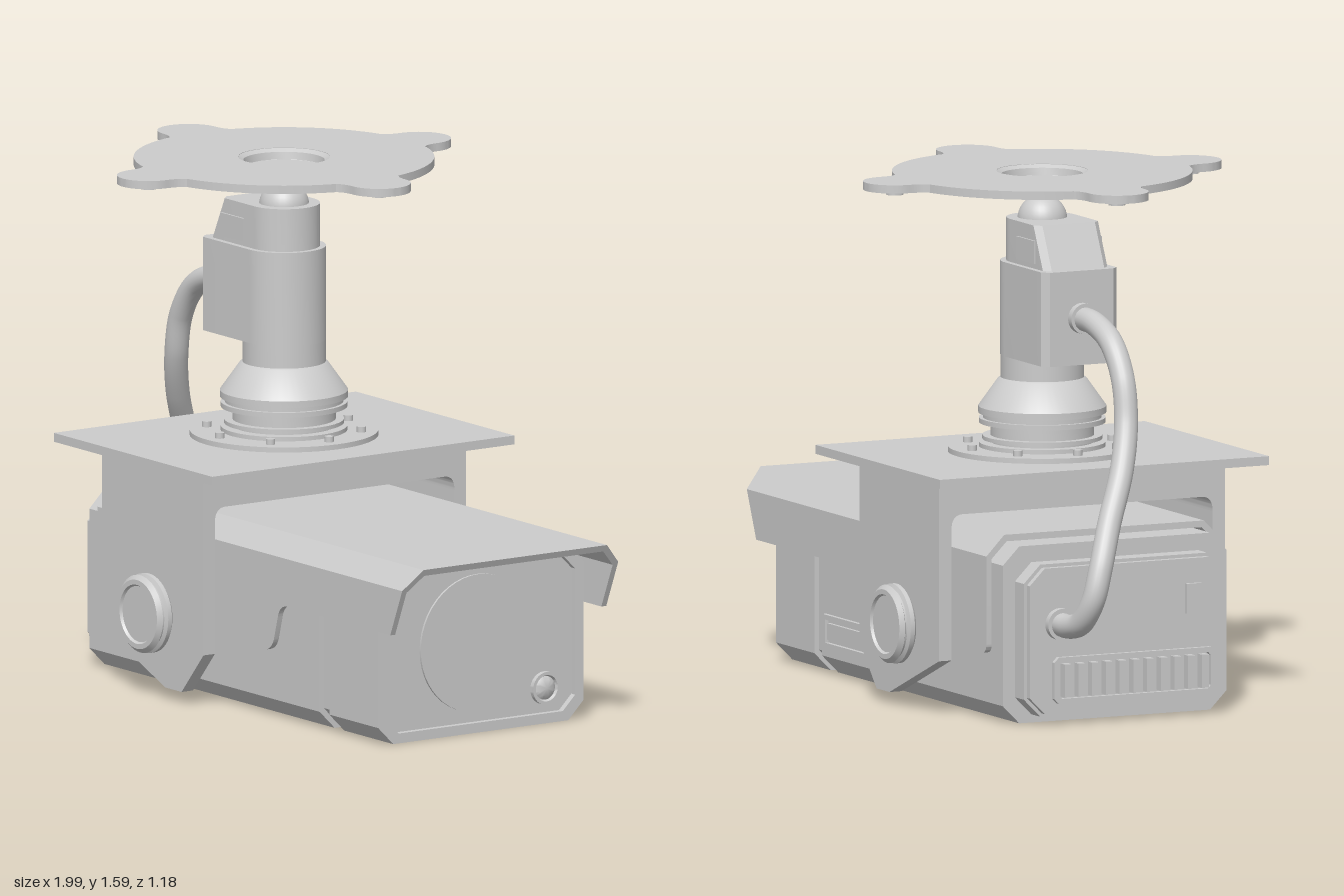
import * as THREE from 'three';
import { toCreasedNormals } from 'three/addons/utils/BufferGeometryUtils.js';

const AXIS_X = -0.21; // column, yoke and ceiling plate share this axis
const mat = new THREE.MeshStandardMaterial({ color: 0xcccccc });
const matTwo = new THREE.MeshStandardMaterial({ color: 0xcccccc, side: THREE.DoubleSide });

export function createModel() {
  const root = new THREE.Group();

  const add = (name, geo, x = 0, y = 0, z = 0, parent = root, m = mat) => {
    const mesh = new THREE.Mesh(geo, m);
    mesh.name = name;
    mesh.position.set(x, y, z);
    parent.add(mesh);
    return mesh;
  };
  const group = (name, parent = root) => {
    const g = new THREE.Group();
    g.name = name;
    parent.add(g);
    return g;
  };
  const poly = pts => new THREE.Shape(pts.map(p => new THREE.Vector2(p[0], p[1])));
  const extrude = (shape, depth, bevel = 0) => toCreasedNormals(new THREE.ExtrudeGeometry(shape, {
    depth: depth - bevel, curveSegments: 16, bevelEnabled: bevel > 0, bevelThickness: bevel,
    bevelSize: bevel, bevelOffset: -bevel, bevelSegments: 1 }), 0.5);
  // Profile drawn in (-z, y), swept from x0 to x1
  const sweepX = (shape, x0, x1, bevel = 0) =>
    extrude(shape, x1 - x0, bevel).rotateY(Math.PI / 2).translate(x0, 0, 0);
  // Plan drawn in (x, -z), swept from y0 to y1
  const sweepY = (shape, y0, y1, bevel = 0) =>
    extrude(shape, y1 - y0, bevel).rotateX(-Math.PI / 2).translate(0, y0, 0);
  const lathe = pts => toCreasedNormals(
    new THREE.LatheGeometry(pts.map(p => new THREE.Vector2(p[0], p[1])), 48), 0.5);
  const octagon = (w, y0, y1, c) => [[-w + c, y0], [w - c, y0], [w, y0 + c], [w, y1 - c],
    [w - c, y1], [-w + c, y1], [-w, y1 - c], [-w, y0 + c]];

  // Camera housing: main body, groove and framed front section
  const camera = group('cameraHousing');
  const section = octagon(0.375, 0.005, 0.54, 0.055);
  add('mainBody', sweepX(poly(section), -0.69, 0.51), 0, 0, 0, camera);
  add('bodyGroove', sweepX(poly(octagon(0.36, 0.02, 0.525, 0.05)), 0.5, 0.57), 0, 0, 0, camera);
  add('frontSection', sweepX(poly(section), 0.56, 0.795), 0, 0, 0, camera);
  const frame = poly(section);
  frame.holes.push(poly(octagon(0.345, 0.035, 0.51, 0.045)));
  add('frontFrame', sweepX(frame, 0.795, 0.815), 0, 0, 0, camera);
  const discX = (r, len) => new THREE.CylinderGeometry(r, r, len, 48).rotateZ(-Math.PI / 2);
  add('lensWindow', discX(0.21, 0.01), 0.797, 0.275, 0, camera);
  const lampProfile = [[0.05, 0], [0.05, 0.015], [0.04, 0.015], [0.036, 0.006], [0.025, 0.014], [0, 0.018]];
  add('sensorLamp', lathe(lampProfile).rotateZ(-Math.PI / 2), 0.795, 0.11, -0.245, camera);

  // Framed access panel on the far side
  const panel = poly([[0.18, 0.09], [0.48, 0.09], [0.48, 0.19], [0.18, 0.19]]);
  panel.holes.push(poly([[0.195, 0.105], [0.465, 0.105], [0.465, 0.175], [0.195, 0.175]]));
  add('sidePanelFrame', extrude(panel, 0.015), 0, 0, -0.388, camera);
  add('sidePanel', new THREE.BoxGeometry(0.25, 0.05, 0.015), 0.33, 0.14, -0.378, camera);

  // Rear cap with vent grille and switch
  add('rearCap', sweepX(poly(octagon(0.335, 0.03, 0.49, 0.055)), -0.75, -0.68), 0, 0, 0, camera);
  add('rearCover', sweepX(poly(octagon(0.325, 0.04, 0.48, 0.05)), -0.77, -0.74), 0, 0, 0, camera);
  const vent = poly(octagon(0.27, 0.07, 0.21, 0.015));
  vent.holes.push(poly(octagon(0.255, 0.085, 0.195, 0.01)));
  add('ventFrame', sweepX(vent, -0.785, -0.765), 0, 0, 0.02, camera);
  for (let i = 0; i < 11; i++) {
    add('ventFin', new THREE.BoxGeometry(0.03, 0.1, 0.024), -0.783, 0.14, -0.21 + i * 0.046, camera);
  }
  add('rearSwitch', new THREE.BoxGeometry(0.02, 0.09, 0.05), -0.773, 0.36, 0.22, camera);

  // Sun shield: chamfered hood raked at the front, with stepped side skirts
  const shield = group('sunShield');
  const hood = sweepX(poly([[-0.395, 0.36], [-0.395, 0.505], [-0.335, 0.567], [0.335, 0.567], [0.395, 0.505],
    [0.395, 0.36], [0.377, 0.36], [0.377, 0.497], [0.327, 0.547], [-0.327, 0.547], [-0.377, 0.497],
    [-0.377, 0.36]]), -0.62, 0.995);
  const hp = hood.attributes.position;
  for (let i = 0; i < hp.count; i++) {
    if (hp.getX(i) > 0.5) hp.setX(i, 0.995 + (hp.getY(i) - 0.567) * 0.43);
  }
  hood.computeVertexNormals();
  add('hood', hood, 0, 0, 0, shield);
  const skirt = new THREE.Shape();
  skirt.moveTo(-0.62, 0.36);
  skirt.lineTo(-0.62, 0.24);
  skirt.quadraticCurveTo(-0.62, 0.21, -0.58, 0.21);
  skirt.lineTo(0.24, 0.21);
  skirt.quadraticCurveTo(0.285, 0.21, 0.3, 0.25);
  skirt.lineTo(0.32, 0.32);
  skirt.quadraticCurveTo(0.33, 0.36, 0.37, 0.36);
  for (const s of [1, -1]) add('sideSkirt', extrude(skirt, 0.018), 0, 0, s * 0.386 - 0.009, shield);

  // Yoke: top plate, filleted bridge, two legs and pivot knobs
  const yoke = group('yoke');
  add('yokePlate', new THREE.BoxGeometry(0.825, 0.027, 1.105), -0.21, 0.734, 0, yoke);
  const bridge = new THREE.Shape();
  bridge.moveTo(-0.48, 0.722);
  bridge.lineTo(-0.48, 0.57);
  bridge.lineTo(-0.438, 0.57);
  bridge.quadraticCurveTo(-0.438, 0.615, -0.4, 0.615);
  bridge.lineTo(0.4, 0.615);
  bridge.quadraticCurveTo(0.438, 0.615, 0.438, 0.57);
  bridge.lineTo(0.48, 0.57);
  bridge.lineTo(0.48, 0.722);
  add('yokeBridge', sweepX(bridge, -0.474, 0.054), 0, 0, 0, yoke);
  const leg = poly([[-0.474, 0.57], [-0.474, 0.175], [-0.145, 0.04], [-0.06, 0.04], [0.054, 0.17], [0.054, 0.57]]);
  const knob = [[0.058, -0.11], [0.058, 0], [0.108, 0], [0.12, 0.01], [0.12, 0.024], [0.108, 0.03],
    [0.108, 0.036], [0.118, 0.042], [0.105, 0.055], [0.09, 0.055], [0.085, 0.047], [0, 0.047]];
  for (const s of [1, -1]) {
    add('yokeLeg', extrude(leg, 0.042), 0, 0, s * 0.459 - 0.021, yoke);
    add('pivotKnob', lathe(knob).rotateX(s * Math.PI / 2), -0.215, 0.258, s * 0.48, yoke);
  }

  // Column: bolted flange, ribbed swivel base, shaft
  const column = group('column');
  column.position.x = AXIS_X;
  add('columnBase', lathe([[0, 0.745], [0.283, 0.745], [0.283, 0.763], [0.19, 0.763], [0.19, 0.776],
    [0.155, 0.776], [0.155, 0.785], [0.18, 0.785], [0.18, 0.797], [0.155, 0.797], [0.155, 0.835],
    [0.19, 0.835], [0.19, 0.85], [0.178, 0.85], [0.178, 0.865], [0.192, 0.865], [0.192, 0.885],
    [0.133, 0.968], [0.125, 0.972], [0.125, 1.325], [0, 1.325]]), 0, 0, 0, column);
  for (let i = 0; i < 8; i++) {
    const a = i * Math.PI / 4;
    add('flangeBolt', new THREE.CylinderGeometry(0.014, 0.014, 0.02, 12),
      0.235 * Math.cos(a), 0.77, 0.235 * Math.sin(a), column);
  }

  // Joint head: D-shaped block and a smaller cap cut back at the rear
  const dShape = (back, r) => {
    const s = new THREE.Shape();
    s.moveTo(back, -r + 0.02);
    s.lineTo(back + 0.02, -r);
    s.lineTo(0, -r);
    s.absarc(0, 0, r, -Math.PI / 2, Math.PI / 2, false);
    s.lineTo(back + 0.02, r);
    s.lineTo(back, r - 0.02);
    return s;
  };
  add('jointBlock', sweepY(dShape(-0.262, 0.126), 1.04, 1.325), 0, 0, 0, column);
  const cap = sweepY(dShape(-0.24, 0.108), 1.32, 1.455);
  const cp = cap.attributes.position;
  for (let i = 0; i < cp.count; i++) {
    if (cp.getY(i) > 1.4 && cp.getX(i) < -0.1) cp.setX(i, cp.getX(i) + 0.065);
  }
  cap.computeVertexNormals();
  add('jointCap', toCreasedNormals(cap, 0.5), 0, 0, 0, column);
  add('capSidePanels', new THREE.BoxGeometry(0.12, 0.07, 0.228), -0.11, 1.375, 0, column);
  add('ballJoint', new THREE.SphereGeometry(0.075, 32, 20), 0, 1.448, 0, column);
  add('ballStem', new THREE.CylinderGeometry(0.027, 0.027, 0.06, 24), 0, 1.535, 0, column);

  // Ceiling plate: disc with four screw ears around a recessed cup
  const ceiling = group('ceilingMount');
  ceiling.position.x = AXIS_X;
  const R = 0.45, earR = 0.095, earD = 0.495, half = Math.asin(0.115 / R);
  const plate = new THREE.Shape();
  for (let k = 0; k < 4; k++) {
    const a = k * Math.PI / 2;
    const at = (u, v) => [u * Math.cos(a) - v * Math.sin(a), u * Math.sin(a) + v * Math.cos(a)];
    const start = at(R * Math.cos(half), -0.115);
    if (k === 0) plate.moveTo(...start);
    plate.quadraticCurveTo(...at(0.455, -earR), ...at(earD, -earR));
    plate.absarc(...at(earD, 0), earR, a - Math.PI / 2, a + Math.PI / 2, false);
    plate.quadraticCurveTo(...at(0.455, earR), ...at(R * Math.cos(half), 0.115));
    plate.absarc(0, 0, R, a + half, a + Math.PI / 2 - half, false);
    add('earScrew', lathe([[0, 0.004], [0.012, 0.004], [0.014, 0], [0.026, 0], [0.026, 0.018]]),
      ...[at(earD, 0)[0], 1.554, at(earD, 0)[1]], ceiling, matTwo);
  }
  plate.holes.push(new THREE.Path().absarc(0, 0, 0.138, 0, Math.PI * 2, true));
  add('ceilingPlate', sweepY(plate, 1.57, 1.595), 0, 0, 0, ceiling);
  add('recessedCup', lathe([[0, 1.553], [0.11, 1.553], [0.125, 1.571], [0.14, 1.571], [0.14, 1.595],
    [0.122, 1.585], [0.118, 1.562], [0, 1.562]]), 0, 0, 0, ceiling, matTwo);

  // Cable looping from the joint block to the rear cover
  const path = new THREE.CatmullRomCurve3([[-0.46, 1.182, 0], [-0.56, 1.175, 0], [-0.67, 1.13, 0],
    [-0.745, 1.03, 0], [-0.785, 0.9, -0.01], [-0.835, 0.77, -0.05], [-0.9, 0.62, -0.125],
    [-0.95, 0.49, -0.18], [-0.952, 0.4, -0.205], [-0.905, 0.33, -0.22], [-0.84, 0.31, -0.225],
    [-0.765, 0.31, -0.225]].map(p => new THREE.Vector3(...p)));
  const cable = group('cable');
  add('cableTube', new THREE.TubeGeometry(path, 100, 0.036, 20), 0, 0, 0, cable);
  add('upperGland', discX(0.046, 0.03), -0.48, 1.182, 0, cable);
  add('lowerGland', discX(0.048, 0.025), -0.778, 0.31, -0.225, cable);

  return root;
}
